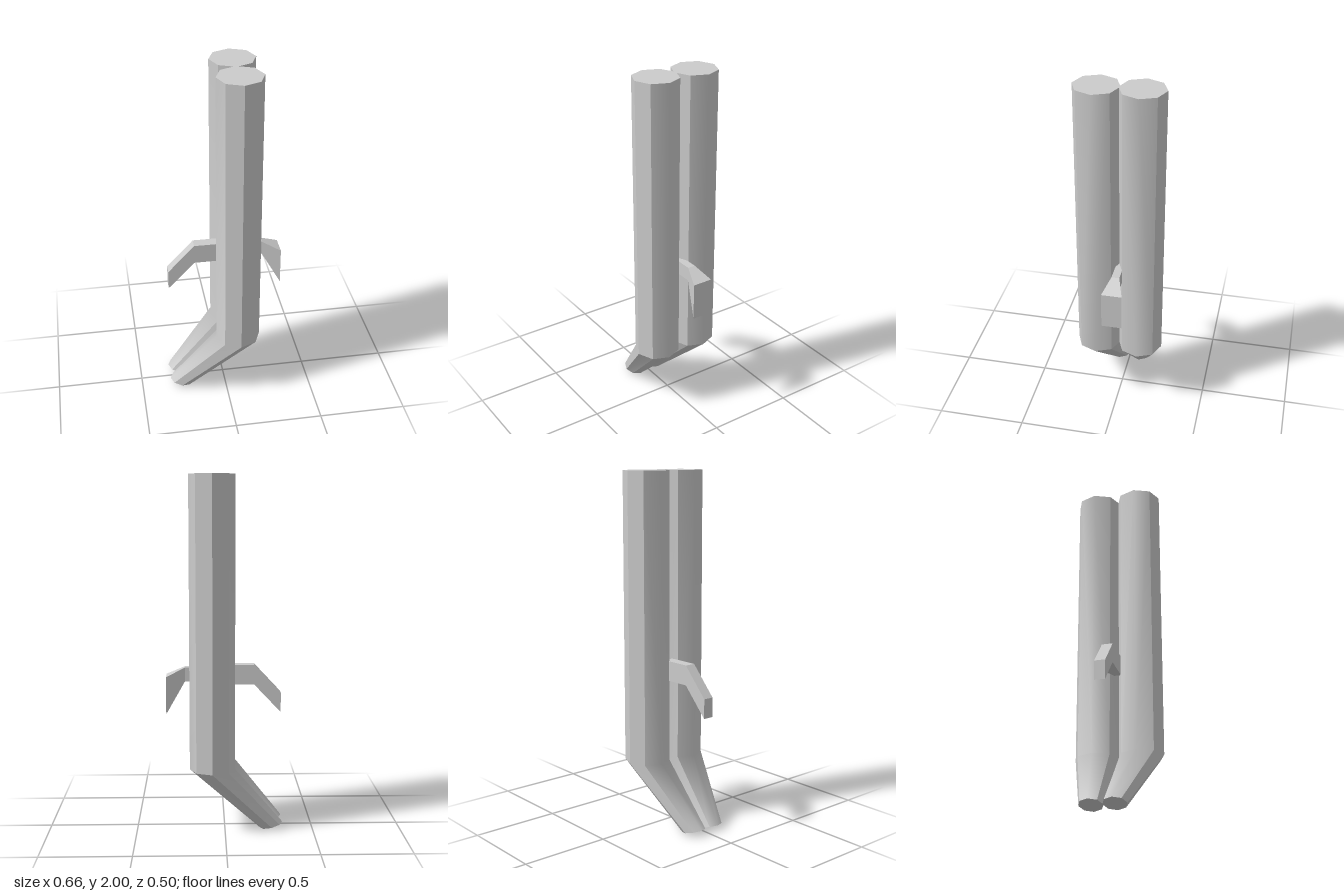
import * as THREE from 'three';
import { mergeGeometries } from 'three/addons/utils/BufferGeometryUtils.js';

// Octagonal rings of one tube, from the top to the slanted tip
const RINGS = [
  { x: 0.0715, y: 2, z: 0.1215, r: 0.127, tilt: 0 },
  { x: 0.0715, y: 0.365, z: 0.1215, r: 0.127, tilt: 0 },
  { x: -0.265, y: 0.017, z: 0.0625, r: 0.0645, tilt: 0.017 },
];

function ringPoint(ring, corner, side) {
  const a = (corner * Math.PI) / 4;
  return [
    ring.x + ring.r * Math.cos(a),
    ring.y - ring.tilt * Math.cos(a),
    side * (ring.z + ring.r * Math.sin(a)),
  ];
}

function indexed(points, index) {
  const g = new THREE.BufferGeometry();
  g.setAttribute('position', new THREE.Float32BufferAttribute(points.flat(), 3));
  g.setIndex(index);
  g.computeVertexNormals();
  return g;
}

// Grid of quads; vertices are shared inside a strip so it shades smoothly
function strip(rings, corners, side) {
  const n = corners.length;
  const points = rings.flatMap((r) => corners.map((c) => ringPoint(r, c, side)));
  const index = [];
  for (let i = 0; i < rings.length - 1; i++) {
    for (let j = 0; j < n - 1; j++) {
      const t0 = i * n + j, t1 = t0 + 1, b0 = t0 + n, b1 = b0 + 1;
      if (side > 0) index.push(b0, t0, b1, b1, t0, t1);
      else index.push(b0, b1, t0, b1, t1, t0);
    }
  }
  return indexed(points, index);
}

function cap(ring, side, up) {
  const points = Array.from({ length: 8 }, (_, c) => ringPoint(ring, c, side));
  const index = [];
  for (let c = 1; c < 7; c++) {
    if (up === side > 0) index.push(0, c + 1, c);
    else index.push(0, c, c + 1);
  }
  return indexed(points, index);
}

function tubeGeometry(side) {
  const [top, bend, tip] = RINGS;
  const parts = [cap(top, side, true), cap(tip, side, false)];
  // Panels on the inside of the bend run smoothly through it
  for (const corners of [[2, 3], [3, 4, 5], [5, 6]]) parts.push(strip(RINGS, corners, side));
  // Panels on the outside of the bend have a hard edge there
  for (const corners of [[-2, -1], [-1, 0, 1], [1, 2]]) {
    parts.push(strip([top, bend], corners, side), strip([bend, tip], corners, side));
  }
  return mergeGeometries(parts);
}

// Flat-sided bar through rectangular sections [x, bottom, top, zMin, zMax], x rising
function barGeometry(sections) {
  const points = sections.flatMap(([x, b, t, z0, z1]) => [
    [x, b, z0], [x, b, z1], [x, t, z1], [x, t, z0],
  ]);
  const last = points.length - 4;
  const index = [0, 1, 2, 0, 2, 3, last, last + 2, last + 1, last, last + 3, last + 2];
  for (let i = 0; i < last; i += 4) {
    for (let k = 0; k < 4; k++) {
      const a = i + k, b = i + ((k + 1) % 4);
      index.push(a, a + 4, b, b, a + 4, b + 4);
    }
  }
  const g = indexed(points, index).toNonIndexed();
  g.computeVertexNormals();
  return g;
}

export function createModel() {
  const model = new THREE.Group();
  model.name = 'twinTubes';
  const grey = new THREE.MeshStandardMaterial({ color: 0xcccccc });
  grey.name = 'light grey';

  const add = (name, geometry) => {
    const mesh = new THREE.Mesh(geometry, grey);
    mesh.name = name;
    model.add(mesh);
  };

  // Mirrored pair of bent, tapering tubes
  add('frontTube', tubeGeometry(1));
  add('backTube', tubeGeometry(-1));

  // Plain bent arm on the right
  add('bentArm', barGeometry([
    [-0.317, 0.672, 0.783, -0.038, 0.023],
    [-0.166, 0.832, 0.945, -0.038, 0.023],
    [0.018, 0.832, 0.945, -0.038, 0.023],
  ]));

  // Arm on the left, flaring out into a paddle
  add('flaredArm', barGeometry([
    [0.08, 0.85, 0.93, -0.029, 0.015],
    [0.224, 0.85, 0.93, -0.029, 0.015],
    [0.33, 0.668, 0.88, -0.064, 0.051],
  ]));

  return model;
}
